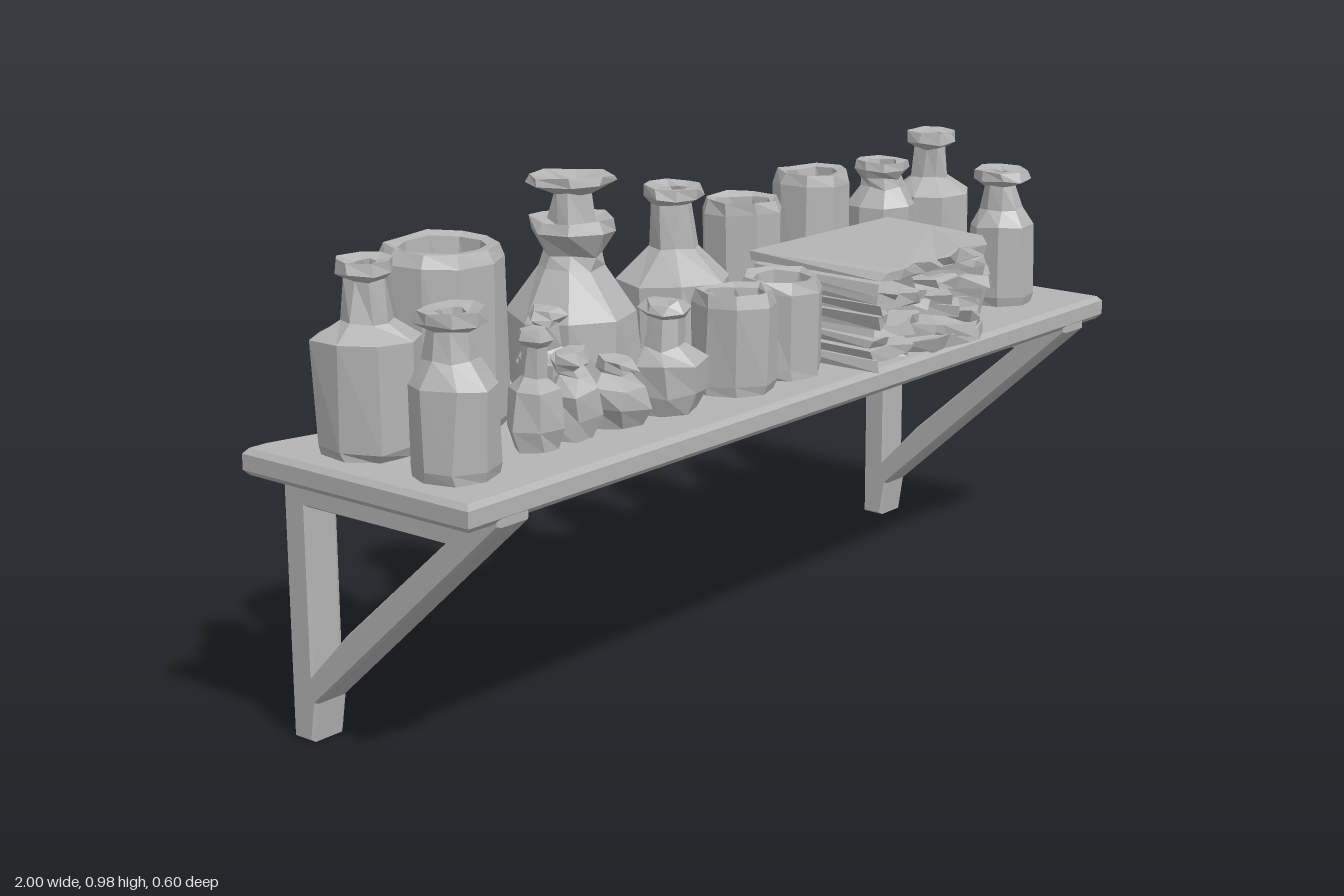
import * as THREE from 'three';

const grey = new THREE.MeshStandardMaterial({ color: 0xb4b4b4 });
grey.name = 'stone grey';

// Repeatable value in -1..1 from a position and a seed
function noise(x, y, z, seed) {
  const s = Math.sin(Math.round(x * 1e4) * 0.1271 + Math.round(y * 1e4) * 0.3117 + Math.round(z * 1e4) * 0.0747 + seed * 7.31) * 43758.5453;
  return (s - Math.floor(s)) * 2 - 1;
}

// Nudge vertices by a rule so coincident corners stay together
function roughen(geometry, amount, seed) {
  const p = geometry.attributes.position;
  for (let i = 0; i < p.count; i++) {
    const x = p.getX(i), y = p.getY(i), z = p.getZ(i);
    p.setXYZ(i, x + noise(x, y, z, seed) * amount, y + noise(x, y, z, seed + 1) * amount * 0.7, z + noise(x, y, z, seed + 2) * amount);
  }
  return geometry;
}

// Faceted mesh
function part(name, geometry, parent) {
  const g = geometry.index ? geometry.toNonIndexed() : geometry;
  g.computeVertexNormals();
  const mesh = new THREE.Mesh(g, grey);
  mesh.name = name;
  parent.add(mesh);
  return mesh;
}

const polygon = (pts) => new THREE.Shape(pts.map(([x, y]) => new THREE.Vector2(x, y)));

const TOP = 0.562;

// Turned vessel: profile of [radius, absolute height]
function vessel(name, x, z, profile, parent, seed, { sides = 8, rough = 0.005 } = {}) {
  const pts = profile.map(([r, y]) => new THREE.Vector2(r, y - TOP));
  const mesh = part(name, roughen(new THREE.LatheGeometry(pts, sides, seed), rough, seed), parent);
  mesh.position.set(x, TOP, z);
  return mesh;
}

// Bottle with shoulder, narrow neck and flared, dished lip
const bottle = (r, shoulder, neckY, neckR, lipR, top) => [
  [0, TOP], [r * 0.93, TOP], [r, TOP + 0.02], [r, shoulder], [neckR * 1.15, neckY],
  [neckR * 0.9, top - 0.035], [lipR, top - 0.022], [lipR * 0.92, top],
  [neckR * 0.6, top - 0.006], [neckR * 0.5, top - 0.04], [0, top - 0.04]];

// Open jar with a thick wall
const jar = (r, top, depth = 0.1) => [
  [0, TOP], [r * 0.92, TOP], [r, TOP + 0.02], [r, top - 0.025], [r * 0.9, top],
  [r * 0.7, top - 0.006], [r * 0.62, top - depth], [0, top - depth]];

// Small stoppered vial
const vial = (r, shoulder, top) => [
  [0, TOP], [r * 0.8, TOP], [r, TOP + 0.04], [r * 0.95, shoulder], [r * 0.5, shoulder + 0.025],
  [r * 0.45, top - 0.03], [r * 0.65, top - 0.018], [r * 0.5, top], [0, top]];

export function createModel() {
  const model = new THREE.Group();
  model.name = 'shelfWithBottles';

  // Board, with rear corners flaring back over the posts
  const board = new THREE.ExtrudeGeometry(
    polygon([[-0.99, -0.235], [0.99, -0.235], [0.99, 0.3], [0.95, 0.3], [0.84, 0.272], [-0.84, 0.272], [-0.95, 0.3], [-0.99, 0.3]]),
    { depth: 0.03, bevelEnabled: true, bevelThickness: 0.01, bevelSize: 0.009, bevelSegments: 1 });
  part('shelfBoard', board.rotateX(-Math.PI / 2).translate(0, 0.523, 0), model);

  // Brackets: post, rail and diagonal brace cut from one outline
  const outline = polygon([[-0.283, 0.005], [-0.242, 0.005], [-0.23, 0.08], [0.238, 0.508], [0.238, 0.52], [-0.283, 0.52]]);
  outline.holes.push(new THREE.Path([[-0.237, 0.455], [0.118, 0.455], [-0.14, 0.223], [-0.237, 0.125]].map(([x, y]) => new THREE.Vector2(x, y))));
  for (const side of [-1, 1]) {
    const g = new THREE.ExtrudeGeometry(outline, { depth: 0.064, bevelEnabled: true, bevelThickness: 0.007, bevelSize: 0.005, bevelSegments: 1 });
    part(side > 0 ? 'leftBracket' : 'rightBracket', g.translate(0, 0, -0.032).rotateY(-Math.PI / 2).translate(side * 0.887, 0, 0), model);
  }

  // Back row
  const backRow = new THREE.Group();
  backRow.name = 'backRow';
  model.add(backRow);
  vessel('endBottleRight', -0.867, -0.12, bottle(0.095, 0.77, 0.8, 0.04, 0.055, 0.908), backRow, 1);
  vessel('largeJar', -0.657, -0.14, jar(0.115, 0.9, 0.14), backRow, 2, { sides: 10 });
  vessel('tallBottle', -0.325, -0.125, [
    [0, TOP], [0.115, TOP], [0.125, 0.58], [0.122, 0.715], [0.06, 0.805], [0.055, 0.83], [0.085, 0.875],
    [0.078, 0.898], [0.045, 0.89], [0.036, 0.945], [0.088, 0.965], [0.08, 0.98], [0.02, 0.962], [0, 0.962]],
  backRow, 3, { rough: 0.007 });
  vessel('wideBottle', -0.027, -0.128, bottle(0.113, 0.73, 0.795, 0.042, 0.062, 0.915), backRow, 4);
  vessel('middleJar', 0.215, -0.147, jar(0.083, 0.852), backRow, 5);
  vessel('tallJar', 0.447, -0.145, jar(0.082, 0.878), backRow, 6);
  vessel('neckedJar', 0.67, -0.122, [
    [0, TOP], [0.07, TOP], [0.077, 0.58], [0.074, 0.775], [0.048, 0.815], [0.045, 0.835], [0.06, 0.855],
    [0.055, 0.872], [0.036, 0.865], [0.03, 0.8], [0, 0.8]], backRow, 7);
  vessel('endBottleLeft', 0.868, -0.13, bottle(0.09, 0.775, 0.81, 0.038, 0.056, 0.908), backRow, 8);

  // Front row
  const frontRow = new THREE.Group();
  frontRow.name = 'frontRow';
  model.add(frontRow);
  vessel('frontBottleRight', -0.88, 0.1, bottle(0.08, 0.725, 0.77, 0.042, 0.065, 0.855), frontRow, 11);
  vessel('slimVial', -0.672, 0.095, vial(0.052, 0.67, 0.78), frontRow, 12, { sides: 6 });
  vessel('clusterVialOuter', -0.572, 0.09, vial(0.056, 0.65, 0.72), frontRow, 13, { sides: 6, rough: 0.008 });
  vessel('clusterVialInner', -0.47, 0.11, vial(0.056, 0.64, 0.69), frontRow, 14, { sides: 6, rough: 0.008 });
  vessel('clusterVialBack', -0.535, 0, vial(0.056, 0.68, 0.78), frontRow, 15, { sides: 6, rough: 0.008 });
  const leaning = vessel('leaningVial', -0.525, -0.035, vial(0.045, 0.62, 0.69), frontRow, 16, { sides: 6 });
  leaning.rotation.set(-0.35, 0, -0.2);
  vessel('roundVial', -0.33, 0.105, vial(0.075, 0.66, 0.77), frontRow, 17, { sides: 7, rough: 0.008 });
  vessel('shortJarRight', -0.13, 0.11, jar(0.082, 0.757, 0.07), frontRow, 18);
  vessel('shortJarLeft', 0.028, 0.1, jar(0.083, 0.757, 0.07), frontRow, 19);
  vessel('smallCup', 0.635, 0.125, [
    [0, TOP], [0.036, TOP], [0.05, 0.66], [0.044, 0.682], [0.028, 0.678], [0.026, 0.645], [0, 0.645]], frontRow, 20, { sides: 7 });
  vessel('frontBottleLeft', 0.817, 0.09, bottle(0.07, 0.735, 0.77, 0.036, 0.06, 0.855), frontRow, 21);

  // Stack of ragged sheets, torn along the front
  const stack = new THREE.Group();
  stack.name = 'paperStack';
  model.add(stack);
  const layers = 9, step = 0.0225;
  for (let k = 0; k < layers; k++) {
    const n = (i) => noise(i, k, 3, 40);
    const top = k === layers - 1;
    const pts = [[0.125 + n(1) * 0.012, 0.045], [0.125 + n(2) * 0.012, -0.26 + n(3) * 0.02]];
    for (let i = 1; i < 9; i++) pts.push([0.125 + i * 0.044, -(top ? 0.275 : 0.24) + n(i + 5) * (top ? 0.012 : 0.05)]);
    pts.push([0.54 + n(15) * 0.02, -0.225], [0.555 + n(16) * 0.014, -0.1], [0.56, 0.035]);
    const g = new THREE.ExtrudeGeometry(polygon(pts), { depth: step, bevelEnabled: false });
    g.rotateX(-Math.PI / 2);
    part('sheet', roughen(g, 0.008, 50 + k), stack).position.y = TOP + 0.004 + k * step;
  }
  return model;
}
